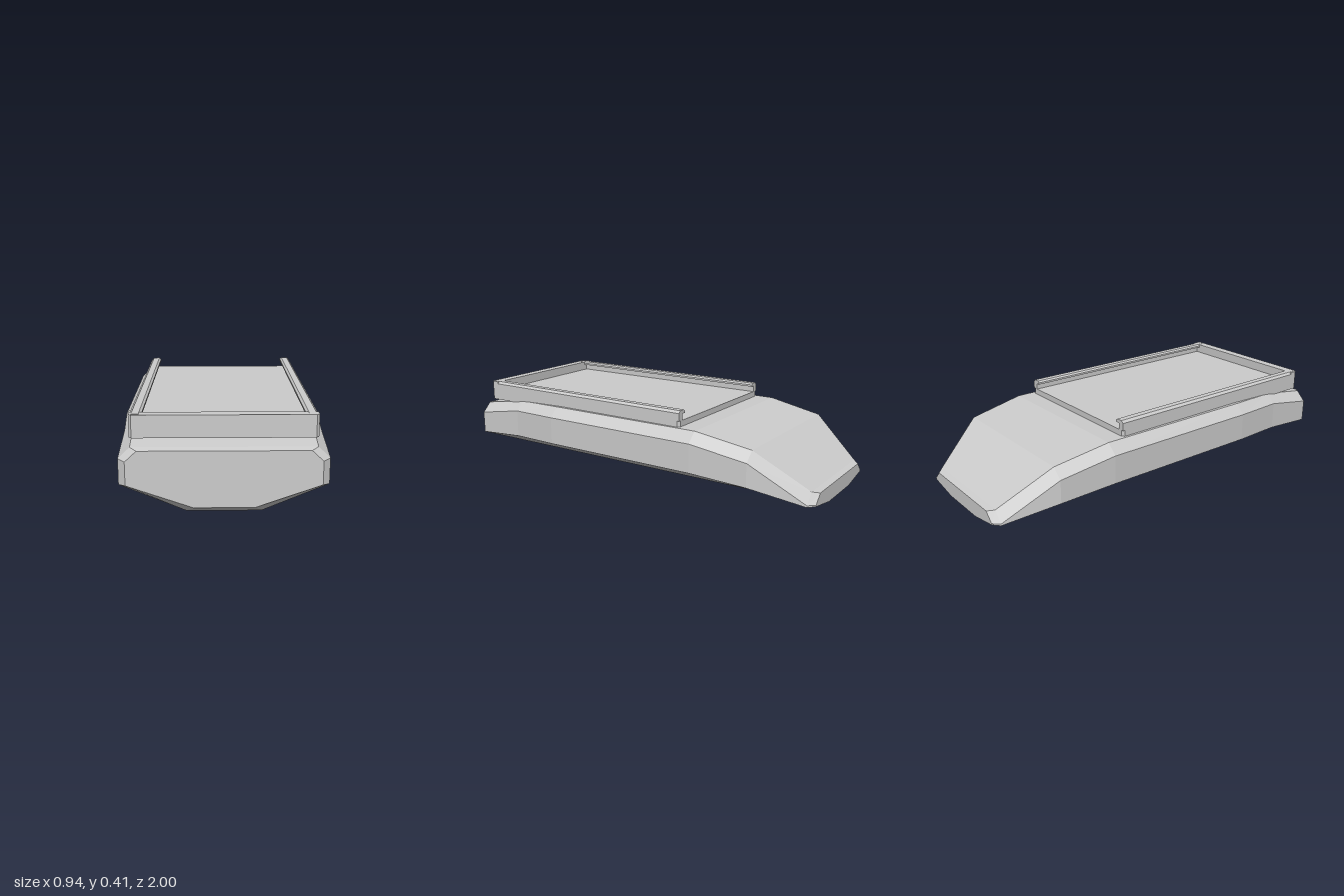
import * as THREE from 'three';

const material = new THREE.MeshStandardMaterial({ color: 0xcccccc, flatShading: true });

// Closed loft through mirrored rings, listed front to back.
// Each station: z, then x,y of keel edge, lower side, upper side, deck edge.
function loft(stations) {
  const rings = stations.map(([z, ...half]) => {
    const right = half.map(([x, y]) => [x, y, z]);
    const left = half.map(([x, y]) => [-x, y, z]).reverse();
    return [...right, ...left];
  });
  const n = rings[0].length;
  const last = (rings.length - 1) * n;
  const index = [];
  for (let i = 0; i < rings.length - 1; i++) {
    for (let j = 0; j < n; j++) {
      const a = i * n + j, b = i * n + (j + 1) % n;
      index.push(a, a + n, b + n, a, b + n, b);
    }
  }
  // end caps
  for (let j = 1; j < n - 1; j++) {
    index.push(0, j, j + 1, last, last + j + 1, last + j);
  }
  const geometry = new THREE.BufferGeometry();
  geometry.setAttribute('position', new THREE.Float32BufferAttribute(rings.flat(2), 3));
  geometry.setIndex(index);
  const flat = geometry.toNonIndexed();
  flat.computeVertexNormals();
  return flat;
}

function extrude(points, depth) {
  const shape = new THREE.Shape(points.map(([x, y]) => new THREE.Vector2(x, y)));
  return new THREE.ExtrudeGeometry(shape, { depth, bevelEnabled: false });
}

export function createModel() {
  const model = new THREE.Group();
  model.name = 'trayOnBody';
  const add = (name, geometry, parent = model) => {
    const mesh = new THREE.Mesh(geometry, material);
    mesh.name = name;
    parent.add(mesh);
    return mesh;
  };

  // Faceted body with a blunt front and a wedge-shaped back
  add('body', loft([
    [1.00, [0.13, 0.025], [0.415, 0.125], [0.415, 0.23], [0.365, 0.277]],
    [0.97, [0.16, 0], [0.447, 0.12], [0.447, 0.235], [0.395, 0.285]],
    [0.70, [0.16, 0], [0.447, 0.137], [0.447, 0.28], [0.40, 0.327]],
    [0.43, [0.16, 0], [0.468, 0.142], [0.468, 0.285], [0.42, 0.335]],
    [-0.43, [0.16, 0], [0.468, 0.142], [0.468, 0.285], [0.415, 0.335]],
    [-0.72, [0.16, 0], [0.442, 0.12], [0.442, 0.237], [0.39, 0.285]],
    [-0.97, [0.16, 0], [0.328, 0.043], [0.328, 0.052], [0.28, 0.103]],
    [-1.00, [0.13, 0.015], [0.295, 0.043], [0.295, 0.05], [0.25, 0.095]],
  ]));

  // Sliding tray, open at the back
  const tray = new THREE.Group();
  tray.name = 'tray';
  model.add(tray);
  const back = -0.335, front = 0.935, half = 0.403, c = 0.012;
  const bottom = 0.313, floor = 0.365, top = 0.415;

  // floor slab with chamfered corners
  const slab = add('trayFloor', extrude([
    [half - c, -front], [half, -front + c], [half, -back - c], [half - c, -back],
    [-half + c, -back], [-half, -back - c], [-half, -front + c], [-half + c, -front],
  ], floor - bottom), tray);
  slab.rotation.x = -Math.PI / 2;
  slab.position.y = bottom;

  // hooked side rails
  const hook = [
    [half, floor], [half, top - c], [half - c, top], [0.36, top], [0.35, top - 0.008],
    [0.35, top - 0.018], [0.372, top - 0.018], [0.372, floor],
  ];
  for (const side of [1, -1]) {
    const profile = hook.map(([x, y]) => [side * x, y]);
    const rail = add(side > 0 ? 'leftRail' : 'rightRail', extrude(profile, front - c - back), tray);
    rail.position.z = back;
  }

  // front wall, following the chamfered corners
  const wall = add('frontWall', extrude([
    [half - c, -front], [half, -front + c], [half, -0.885],
    [-half, -0.885], [-half, -front + c], [-half + c, -front],
  ], top - floor - 0.001), tray);
  wall.rotation.x = -Math.PI / 2;
  wall.position.y = floor;

  return model;
}
